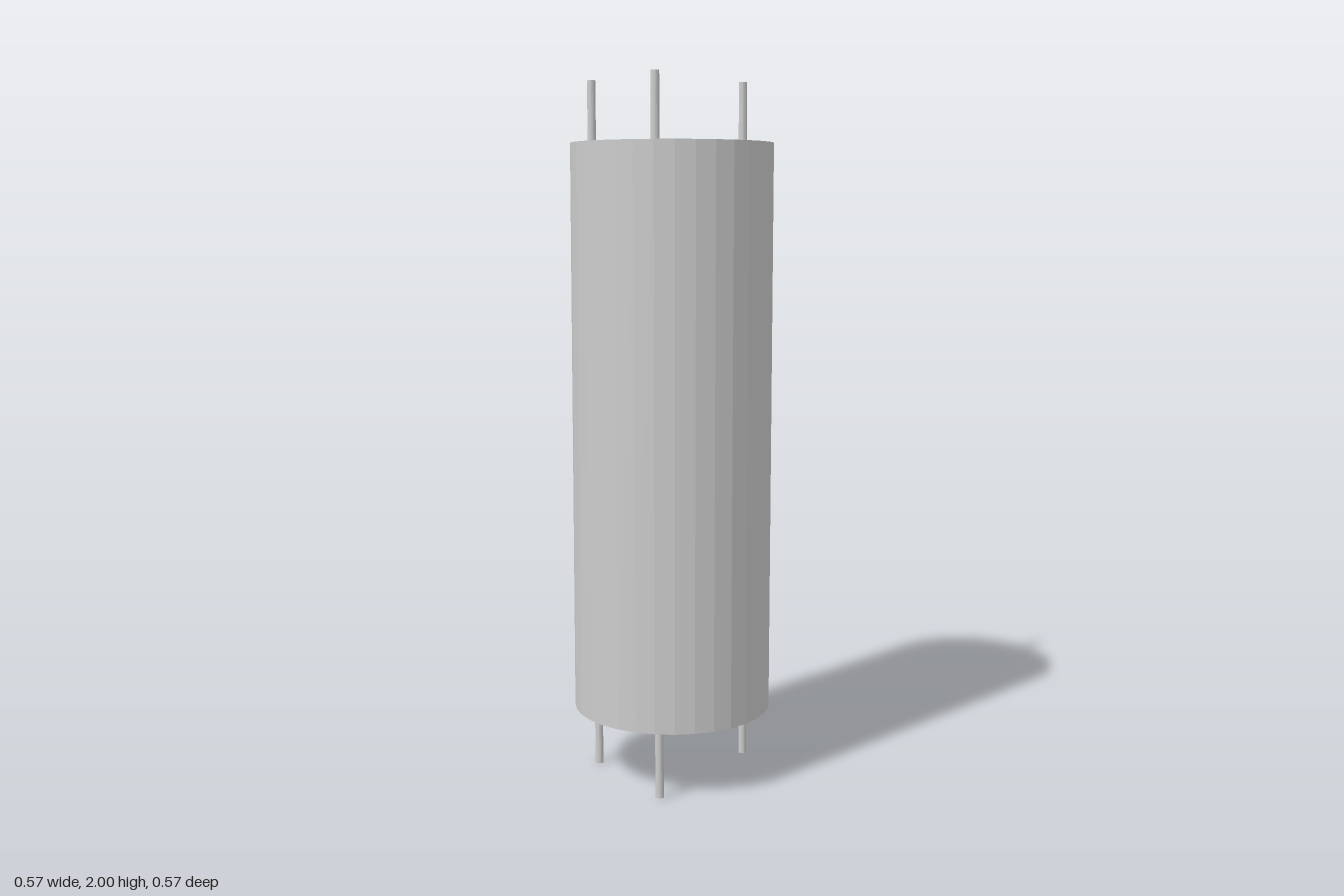
import * as THREE from 'three';

export function createModel() {
  const model = new THREE.Group();
  const material = new THREE.MeshStandardMaterial({ color: 0xcccccc, flatShading: true });

  // Faceted main cylinder
  const body = new THREE.Mesh(new THREE.CylinderGeometry(0.285, 0.285, 1.62, 32), material);
  body.name = 'body';
  body.position.y = 1.01;
  model.add(body);

  // Three thin rods running through the body, leaning slightly back
  const tilt = 0.0135;
  const rods = new THREE.Group();
  rods.name = 'rods';
  const rodGeometry = new THREE.CylinderGeometry(0.0118, 0.0118, 1.995, 16);
  const spots = [[0.241, -0.03], [-0.133, 0.2], [-0.185, -0.132]];
  spots.forEach(([x, z], i) => {
    const rod = new THREE.Mesh(rodGeometry, material);
    rod.name = `rod${i + 1}`;
    rod.position.set(x, 1 + z * tilt, z);
    rod.rotation.x = -tilt;
    rods.add(rod);
  });
  model.add(rods);

  return model;
}
